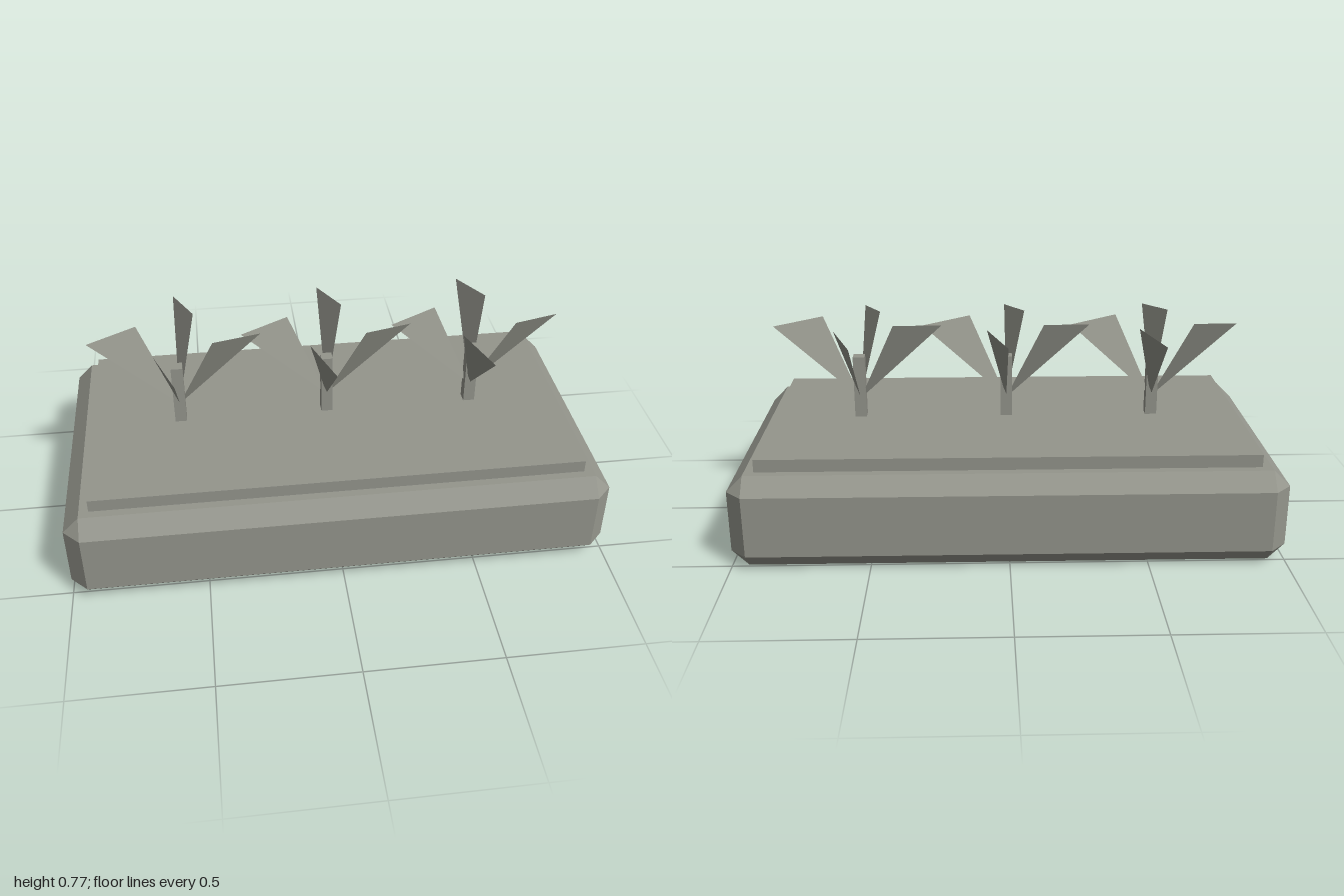
import * as THREE from 'three';
import { ConvexGeometry } from 'three/addons/geometries/ConvexGeometry.js';

// Box with every edge cut at 45 degrees, standing on y = 0
function chamferedBox(w, h, d, c) {
  const points = [];
  for (const sx of [-1, 1]) for (const sy of [-1, 1]) for (const sz of [-1, 1]) {
    for (const axis of [0, 1, 2]) {
      const cut = [c, c, c];
      cut[axis] = 0;
      points.push(new THREE.Vector3(
        sx * (w / 2 - cut[0]), h / 2 + sy * (h / 2 - cut[1]), sz * (d / 2 - cut[2])));
    }
  }
  return new ConvexGeometry(points);
}

export function createModel() {
  const model = new THREE.Group();
  const grey = new THREE.MeshStandardMaterial({ color: 0x94958c, flatShading: true, side: THREE.DoubleSide });
  grey.name = 'stone grey';

  const add = (parent, name, geometry, x = 0, y = 0, z = 0) => {
    const mesh = new THREE.Mesh(geometry, grey);
    mesh.name = name;
    mesh.position.set(x, y, z);
    parent.add(mesh);
    return mesh;
  };

  // Planter body and raised soil bed
  add(model, 'planterBody', chamferedBox(2, 0.348, 1.1, 0.06));
  add(model, 'soilBed', new THREE.BoxGeometry(1.81, 0.05, 0.916), 0, 0.37, 0);

  // One triangular leaf, rising outwards from the stem centre
  const leaf = new THREE.BufferGeometry();
  leaf.setAttribute('position', new THREE.Float32BufferAttribute([
    0, 0, 0, 0, 0.291, 0.32, -0.075, 0.31, 0.14], 3));
  leaf.computeVertexNormals();

  // Three plants: square stem with four leaves turned around it
  const stem = new THREE.BoxGeometry(0.044, 0.24, 0.044);
  for (const x of [-0.567, 0, 0.567]) {
    const plant = new THREE.Group();
    plant.name = 'plant';
    plant.position.set(x, 0, 0);
    add(plant, 'stem', stem, 0, 0.515, 0);
    for (let i = 0; i < 4; i++) {
      add(plant, 'leaf', leaf, 0, 0.463, 0).rotation.y = i * Math.PI / 2;
    }
    model.add(plant);
  }
  return model;
}
